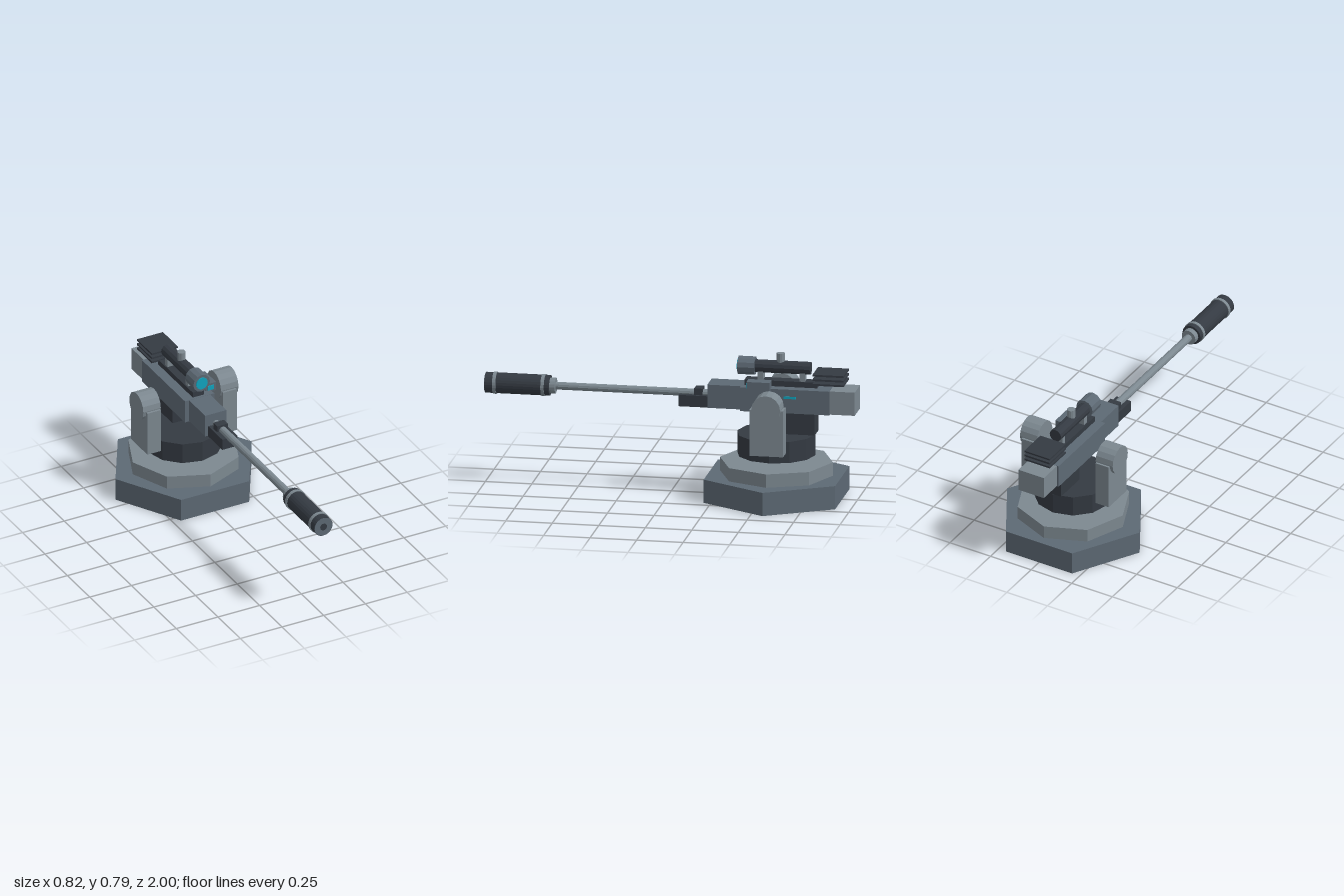
import * as THREE from 'three';

const mat = (color) => new THREE.MeshStandardMaterial({ color, flatShading: true });
const DARK = mat(0x343a42), MID = mat(0x5d6974), LIGHT = mat(0x7c8890), CYAN = mat(0x10a5bf);

export function createModel() {
  const model = new THREE.Group();
  const add = (name, geometry, material) => {
    const mesh = new THREE.Mesh(geometry, material);
    mesh.name = name;
    model.add(mesh);
    return mesh;
  };
  // Box given by its limits on each axis
  const box = (name, material, [x0, x1], [y0, y1], [z0, z1]) => {
    const mesh = add(name, new THREE.BoxGeometry(x1 - x0, y1 - y0, z1 - z0), material);
    mesh.position.set((x0 + x1) / 2, (y0 + y1) / 2, (z0 + z1) / 2);
    return mesh;
  };
  // Upright prism
  const column = (name, material, r, y0, y1, z, sides, turn = 0) => {
    const mesh = add(name, new THREE.CylinderGeometry(r, r, y1 - y0, sides), material);
    mesh.position.set(0, (y0 + y1) / 2, z);
    mesh.rotation.y = turn;
  };
  // Cylinder lying along z
  const rod = (name, material, r, y, z0, z1, sides = 16) => {
    const geometry = new THREE.CylinderGeometry(r, r, z1 - z0, sides).rotateX(Math.PI / 2);
    add(name, geometry, material).position.set(0, y, (z0 + z1) / 2);
  };
  const sym = (w) => [-w, w];

  // Stepped base and floating turntable
  const baseZ = -0.565;
  column('basePlate', MID, 0.408, 0, 0.127, baseZ, 6, Math.PI / 6);
  column('baseStep', LIGHT, 0.304, 0.127, 0.2, baseZ, 8);
  column('turntable', DARK, 0.21, 0.235, 0.35, baseZ, 12);

  // Side arms with pivot drums
  for (const side of [-1, 1]) {
    const name = side > 0 ? 'left' : 'right';
    const arm = box(name + 'Arm', LIGHT, [0.186, 0.268], [0.288, 0.54], [-0.65, -0.469]);
    arm.position.x *= side;
    const drum = new THREE.CylinderGeometry(0.078, 0.078, 0.105, 16).rotateZ(Math.PI / 2);
    add(name + 'Pivot', drum, LIGHT).position.set(side * 0.233, 0.545, -0.56);
  }

  // Receiver
  box('receiverFront', MID, sym(0.063), [0.482, 0.609], [-0.385, -0.205]);
  box('receiverBody', MID, sym(0.088), [0.48, 0.61], [-0.865, -0.385]);
  box('receiverRear', LIGHT, sym(0.078), [0.482, 0.609], [-1, -0.865]);
  box('magazine', DARK, sym(0.052), [0.356, 0.48], [-0.78, -0.59]);
  box('sideLight', CYAN, [0.085, 0.092], [0.56, 0.572], [-0.685, -0.62]);
  box('handguard', DARK, sym(0.045), [0.478, 0.54], [-0.375, -0.047]);
  box('barrelClamp', DARK, sym(0.032), [0.53, 0.576], [-0.172, -0.128]);

  // Barrel and muzzle
  const barrelY = 0.545;
  rod('barrel', LIGHT, 0.021, barrelY, -0.21, 0.63, 12);
  rod('muzzleCollar', LIGHT, 0.042, barrelY, 0.62, 0.66);
  rod('muzzleSleeve', DARK, 0.055, barrelY, 0.65, 0.996, 24);
  for (const z of [0.685, 0.945]) rod('muzzleRing', LIGHT, 0.059, barrelY, z - 0.009, z + 0.009, 24);
  rod('muzzleFace', MID, 0.053, barrelY, 0.99, 0.998, 24);
  rod('muzzleBore', DARK, 0.02, barrelY, 0.99, 1, 16);

  // Sight on its rail
  const scopeY = 0.709;
  box('rail', DARK, sym(0.033), [0.61, 0.64], [-0.79, -0.4]);
  for (const z of [-0.483, -0.708]) box('scopeMount', LIGHT, sym(0.026), [0.64, 0.685], [z - 0.014, z + 0.014]);
  rod('scopeTube', DARK, 0.035, scopeY, -0.75, -0.44, 12);
  rod('scopeBell', MID, 0.05, scopeY, -0.452, -0.362, 12);
  rod('scopeLens', CYAN, 0.034, scopeY, -0.37, -0.357, 20);
  column('scopeKnob', LIGHT, 0.022, 0.735, 0.785, -0.588, 12);

  // Small sensor beside the rail
  box('sensor', MID, [0.058, 0.12], [0.6, 0.65], [-0.55, -0.425]);
  box('sensorLens', CYAN, [0.07, 0.107], [0.612, 0.638], [-0.43, -0.421]);

  // Stacked cooling plates
  for (const y of [0.641, 0.666, 0.691]) box('coolingPlate', DARK, sym(0.078), [y - 0.005, y + 0.005], [-0.94, -0.773]);

  return model;
}
